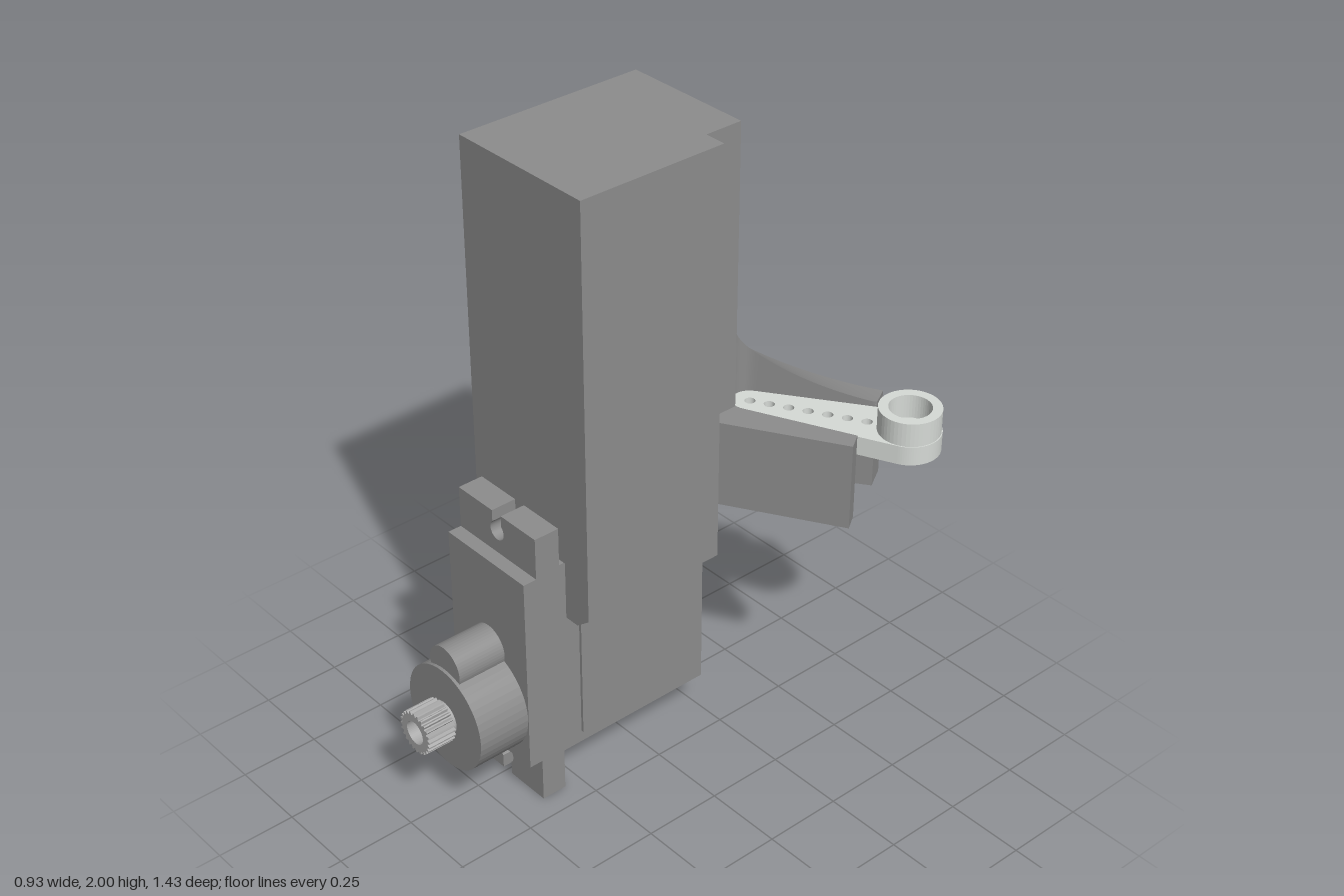
import * as THREE from 'three';

const material = (name, color) => {
  const m = new THREE.MeshStandardMaterial({ color });
  m.name = name;
  return m;
};

export function createModel() {
  const model = new THREE.Group();
  const grey = material('body grey', 0x8c8c8c);
  const light = material('light plastic', 0xd6dad6);
  const metal = material('gear metal', 0xa8a8a8);
  const orange = material('orange pin', 0xe69a10);

  const add = (name, geometry, mat = grey) => {
    const mesh = new THREE.Mesh(geometry, mat);
    mesh.name = name;
    model.add(mesh);
    return mesh;
  };
  // Box from its two extreme corners
  const box = (name, x0, x1, y0, y1, z0, z1, mat) =>
    add(name, new THREE.BoxGeometry(x1 - x0, y1 - y0, z1 - z0), mat)
      .position.set((x0 + x1) / 2, (y0 + y1) / 2, (z0 + z1) / 2);
  const poly = (pts) => new THREE.Shape(pts.map(([x, y]) => new THREE.Vector2(x, y)));
  const hole = (shape, x, y, r) => {
    const h = new THREE.Path();
    h.absarc(x, y, r, 0, Math.PI * 2, true);
    shape.holes.push(h);
  };
  const disc = (x, y, r) => {
    const s = new THREE.Shape();
    s.absarc(x, y, r, 0, Math.PI * 2);
    return s;
  };
  // Shape facing +z between two depths
  const slab = (shape, z0, z1) =>
    new THREE.ExtrudeGeometry(shape, { depth: z1 - z0, bevelEnabled: false, curveSegments: 24 }).translate(0, 0, z0);
  // Floor-plan shape (x, -z) raised between two heights
  const plan = (shape, y0, y1) => slab(shape, y0, y1).rotateX(-Math.PI / 2);

  // Tall column with a notched rear corner, and its lower side lip
  add('column', plan(poly([[-0.47, -0.29], [0.03, -0.29], [0.03, 0.2], [-0.04, 0.2], [-0.04, 0.325], [-0.47, 0.325]]), 0.82, 2));
  add('sideLip', slab(poly([[-0.07, 0.83], [-0.07, 0.63], [-0.02, 0.63], [0.03, 0.67], [0.03, 0.83]]), -0.2, 0.29));

  // Horn outline: hull of a small and a large circle
  const A = new THREE.Vector2(-0.04, 0.383), B = new THREE.Vector2(0.368, 0.619);
  const rA = 0.055, rB = 0.095;
  const dir = Math.atan2(B.y - A.y, B.x - A.x);
  const phi = Math.acos((rA - rB) / A.distanceTo(B));

  // Angled arm, forked around the horn
  const E0 = [-0.47, 0.325], E1 = [0.18, 0.705], E2 = [0.222, 0.635];
  const wallAngle = Math.atan2(E1[1] - E0[1], E1[0] - E0[0]);
  const thick = 0.03;
  const inset = ([x, y]) => [x + thick * Math.sin(wallAngle), y - thick * Math.cos(wallAngle)];
  const arm = poly([inset(E0), inset(E1), E2]);
  arm.absarc(A.x, A.y, rA, dir + phi, dir - phi + Math.PI * 2, false);
  [[0.3, 0.48], [0.333, 0.43], [-0.04, 0.21]].forEach(([x, y]) => arm.lineTo(x, y));
  add('arm', plan(arm, 0.82, 1.1));

  // Outer arm wall with its screw hole
  const length = Math.hypot(E1[0] - E0[0], E1[1] - E0[1]);
  const wall = poly([[0, 0], [length, 0], [length, 0.28], [0, 0.28]]);
  hole(wall, 0.26, 0.055, 0.025);
  const wallMesh = add('armWall', slab(wall, 0, thick));
  wallMesh.position.set(E0[0], 0.82, -E0[1]);
  wallMesh.rotation.y = wallAngle;

  // Concave fillet from the column's back down to the arm's top
  const T = [A.x + rA * Math.cos(dir + phi), A.y + rA * Math.sin(dir + phi)];
  const mix = (p, q, s) => p[0] + (q[0] - p[0]) * (s - p[1]) / (q[1] - p[1]);
  const corners = { lowL: [], topL: [], topR: [], lowR: [] };
  const steps = 40;
  for (let i = 0; i <= steps; i++) {
    const s = E0[1] + (E1[1] - E0[1]) * i / steps;
    const left = mix(E0, E1, s);
    const right = s < T[1] ? A.x - Math.sqrt(Math.max(0, rA * rA - (s - A.y) ** 2))
      : s < E2[1] ? mix(T, E2, s) : mix(E2, E1, s);
    const top = 1.5 - Math.sqrt(0.16 - (0.72 - s) ** 2);
    corners.lowL.push([left, 1.09, -s]);
    corners.topL.push([left, top, -s]);
    corners.topR.push([right, top, -s]);
    corners.lowR.push([right, 1.09, -s]);
  }
  const strip = (name, p, q) => {
    const index = [];
    for (let i = 0; i < steps; i++) {
      const a = 2 * i;
      index.push(a, a + 1, a + 2, a + 1, a + 3, a + 2);
    }
    const g = new THREE.BufferGeometry();
    g.setAttribute('position', new THREE.Float32BufferAttribute(p.flatMap((v, i) => [...v, ...q[i]]), 3));
    g.setIndex(index);
    g.computeVertexNormals();
    add(name, g);
  };
  strip('filletOuterSide', corners.lowL, corners.topL);
  strip('filletTop', corners.topL, corners.topR);
  strip('filletSlotSide', corners.topR, corners.lowR);

  // Servo horn with a row of holes and a raised hub
  const horn = new THREE.Shape();
  horn.absarc(B.x, B.y, rB, dir - phi, dir + phi, false);
  horn.absarc(A.x, A.y, rA, dir + phi, dir - phi + Math.PI * 2, false);
  for (let i = 0; i < 7; i++) hole(horn, A.x + 0.0503 * i, A.y + 0.0291 * i, 0.016);
  hole(horn, B.x, B.y, 0.035);
  add('horn', plan(horn, 1.035, 1.095), light);
  const hub = disc(B.x, B.y, 0.092);
  hole(hub, B.x, B.y, 0.063);
  add('hornHub', plan(hub, 1.09, 1.17), light);

  // Servo case, front cover and side panels
  box('servoCase', -0.42, -0.075, 0.14, 0.82, -0.237, 0.32);
  box('servoCover', -0.42, -0.075, 0.147, 0.81, 0.38, 0.435);
  box('sidePanelRight', -0.43, -0.419, 0.18, 0.78, -0.07, 0.24);
  box('sidePanelLeft', -0.076, -0.066, 0.18, 0.78, -0.07, 0.24);

  // Mounting plate with keyhole slots at both ends
  const cx = -0.247, slit = 0.02, r = 0.03, gap = Math.asin(slit / r);
  const plate = poly([[-0.42, 0], [cx - slit, 0]]);
  plate.absarc(cx, 0.067, r, -Math.PI / 2 - gap, -Math.PI / 2 + gap, true);
  [[cx + slit, 0], [-0.075, 0], [-0.075, 0.945], [cx + slit, 0.945]].forEach(([x, y]) => plate.lineTo(x, y));
  plate.absarc(cx, 0.885, r, Math.PI / 2 - gap, Math.PI / 2 + gap, true);
  plate.lineTo(cx - slit, 0.945);
  plate.lineTo(-0.42, 0.945);
  add('mountingPlate', slab(plate, 0.307, 0.39));

  // Gear housings and output shaft
  add('gearHousing', slab(disc(cx, 0.325, 0.17), 0.43, 0.607));
  add('idlerHousing', slab(disc(cx, 0.502, 0.07), 0.43, 0.597));
  add('shaftNeck', slab(disc(cx, 0.325, 0.055), 0.6, 0.64), metal);
  const teeth = [];
  for (let i = 0; i < 96; i++) {
    const a = i / 96 * Math.PI * 2, rad = i % 4 < 2 ? 0.07 : 0.061;
    teeth.push([cx + rad * Math.cos(a), 0.325 + rad * Math.sin(a)]);
  }
  const spline = poly(teeth);
  hole(spline, cx, 0.325, 0.038);
  add('outputSpline', slab(spline, 0.62, 0.715), metal);

  // Connector pins under the case
  [light, orange, orange].forEach((mat, i) => {
    const x = cx + (i - 1) * 0.036;
    box('connectorPin', x - 0.015, x + 0.015, 0.08, 0.15, -0.115, -0.085, mat);
  });
  return model;
}
